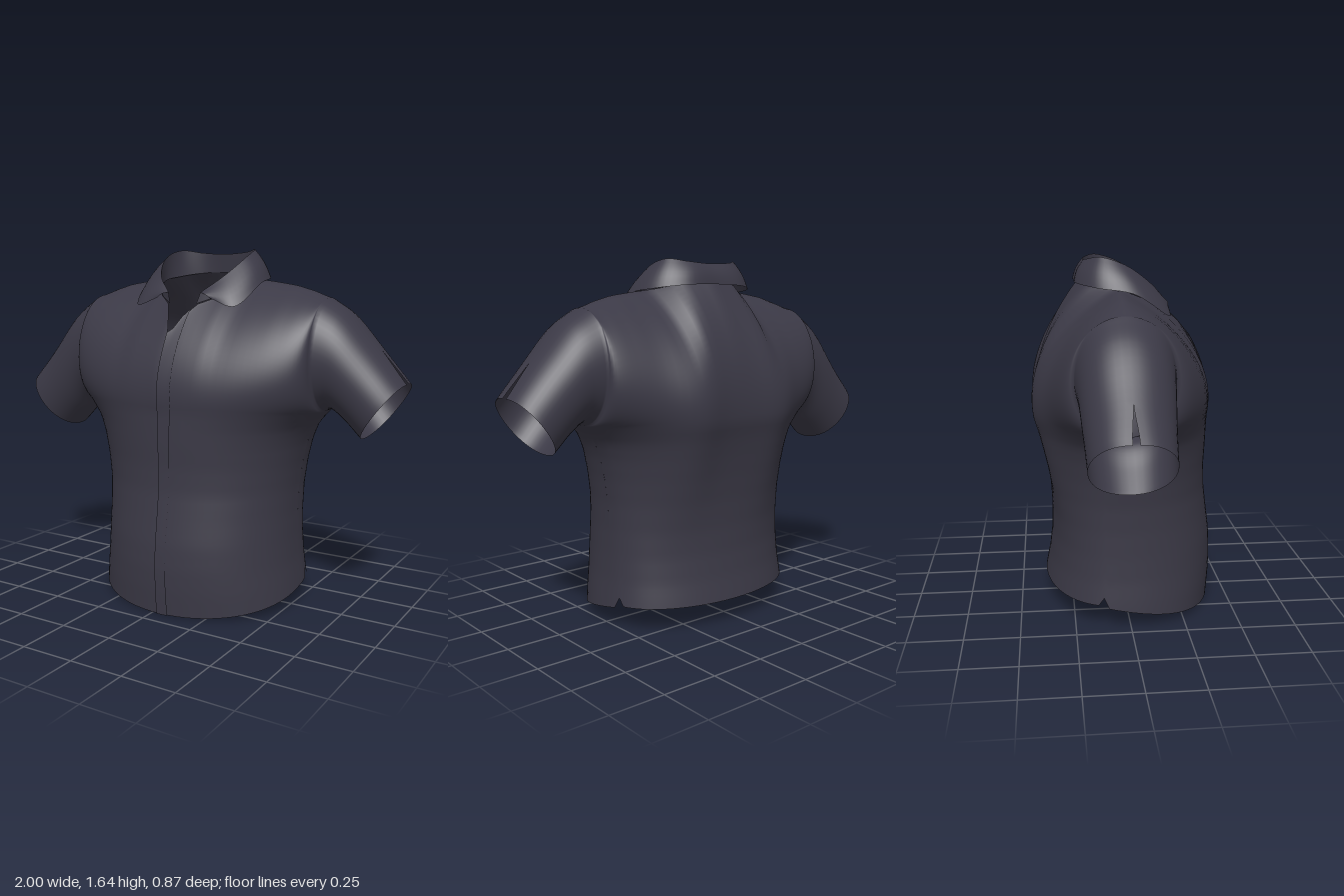
import * as THREE from 'three';
import { mergeGeometries, mergeVertices } from 'three/addons/utils/BufferGeometryUtils.js';

const V = (x, y, z) => new THREE.Vector3(x, y, z);
const lerp = THREE.MathUtils.lerp;
const CX = 0.03;      // middle of the torso
const ZC = -0.04;     // depth of side seams and shoulder ridge
const Y0 = 0.93;      // armpit height
const HALF = 48;      // columns across each panel

// Piecewise interpolation of rows [key, a, b, ...]
function table(rows, k) {
  let i = 0;
  while (i < rows.length - 2 && k > rows[i + 1][0]) i++;
  const [a, b] = [rows[i], rows[i + 1]];
  const f = THREE.MathUtils.clamp((k - a[0]) / (b[0] - a[0]), 0, 1);
  return a.slice(1).map((n, j) => lerp(n, b[j + 1], f));
}

// Surface sampled on a grid; fn(u, v) gives points for u, v in 0..1
function grid(nu, nv, fn) {
  const pos = [], idx = [];
  for (let i = 0; i <= nu; i++) {
    for (let j = 0; j <= nv; j++) {
      const p = fn(i / nu, j / nv);
      pos.push(p.x, p.y, p.z);
      if (i < nu && j < nv) {
        const a = i * (nv + 1) + j, b = a + nv + 1;
        idx.push(a, a + 1, b, b, a + 1, b + 1);
      }
    }
  }
  const g = new THREE.BufferGeometry();
  g.setAttribute('position', new THREE.Float32BufferAttribute(pos, 3));
  g.setIndex(idx);
  return g;
}

function bezier(p, t) {
  return new THREE.CubicBezierCurve3(...p).getPoint(t);
}

// Torso: height, half width, front depth, back depth
const TORSO = [
  [0, 0.507, 0.42, -0.385], [0.12, 0.495, 0.43, -0.378], [0.22, 0.483, 0.433, -0.358],
  [0.33, 0.477, 0.428, -0.345], [0.45, 0.475, 0.412, -0.342], [0.57, 0.48, 0.397, -0.348],
  [0.68, 0.495, 0.395, -0.36], [0.78, 0.517, 0.399, -0.375], [0.86, 0.548, 0.4, -0.39],
  [Y0, 0.61, 0.4, -0.408],
];

// Point on the torso outline at one height
function loop(theta, y) {
  const [w, zf, zb] = table(TORSO, y);
  const s = Math.sin(theta), t = w * Math.cos(theta);
  let z = ZC + ((s > 0 ? zf : zb) - ZC) * Math.pow(Math.abs(s), 0.85);
  if (s < 0) {  // shoulder-blade bulges either side of the spine
    z -= 0.035 * Math.exp(-(((Math.abs(t) - 0.24) / 0.12) ** 2)) * THREE.MathUtils.smoothstep(y, 0.35, 0.9);
  }
  return V(CX + t, y, z);
}

// Torso from hem to armpit, hem dipping at the front with a small side slit
function lower(theta, v) {
  const z = loop(theta, 0.06).z;
  let hem = z > -0.12 ? 0.005 + 0.19 * (0.42 - z) : 0.117;
  if (Math.abs(z + 0.12) < 0.014) hem += 0.035;
  return loop(theta, lerp(hem, Y0, v));
}

// Upper edges by distance from the middle: height, depth
const RIDGE = [[0.24, 1.51, ZC], [0.33, 1.5, ZC], [0.45, 1.482, ZC], [0.54, 1.457, ZC], [0.61, 1.43, ZC]];
const NECK_FRONT = [[0, 1.26, 0.33], [0.045, 1.36, 0.25], [0.08, 1.4, 0.2], [0.16, 1.435, 0.13], [0.22, 1.48, 0.05], [0.24, 1.51, ZC]];
const NECK_BACK = [[0, 1.545, -0.2], [0.15, 1.535, -0.17], [0.22, 1.52, -0.11], [0.24, 1.51, ZC]];

// Torso above the armpit; side is +1 for the front and -1 for the back
function upper(theta, side, v) {
  const b = loop(theta * side, Y0);
  const t = Math.abs(b.x - CX), s = Math.abs(Math.sin(theta));
  const [ey, ez] = table(t > 0.24 ? RIDGE : side > 0 ? NECK_FRONT : NECK_BACK, t);
  const e = V(b.x, ey, ez), h = ey - Y0, out = side * 0.28 * (1 - s);
  const p1 = V(b.x, Y0 + 0.4 * h * s, b.z + out + side * 0.025 * s);
  const p2 = V(b.x, ey - 0.27 * h * s, lerp(ez, b.z, 0.62) + out);
  return bezier([b, p1, p2, e], v);
}

// Sleeves: shoulder line and underarm line
const curve = (pts) => new THREE.CatmullRomCurve3(pts.map(([x, y]) => V(x, y, ZC)));
const LEFT = {
  top: curve([[0.64, 1.43], [0.74, 1.365], [0.86, 1.235], [1.0, 1.07]]),
  under: curve([[0.64, Y0], [0.675, 0.942], [0.735, 0.905], [0.82, 0.822]]),
};
const RIGHT = {
  top: curve([[-0.58, 1.43], [-0.7, 1.345], [-0.85, 1.175], [-1.0, 1.01]]),
  under: curve([[-0.58, Y0], [-0.63, 0.905], [-0.7, 0.83], [-0.78, 0.748]]),
};

function sleeve(arm, side, w, v) {
  const b = arm.under.getPoint(w), e = arm.top.getPoint(w);
  e.z += side * 0.014 * THREE.MathUtils.smoothstep(w, 0.72, 1);  // cuff slit
  const r = side * lerp(0.28, 0.23, w);
  const p1 = V(b.x, b.y, ZC + r), p2 = V(e.x, e.y, ZC + r);
  return bezier([b, p1, p2, e], v);
}

function bodyGeometry() {
  const parts = [grid(HALF * 2, 30, (u, v) => lower(u * 2 * Math.PI, v))];
  for (const side of [1, -1]) {
    const dir = (u) => (side > 0 ? u : 1 - u);
    parts.push(
      grid(HALF, 24, (u, v) => upper(dir(u) * Math.PI, side, v)),
      grid(18, 24, (u, v) => sleeve(LEFT, side, 1 - dir(u), v)),
      grid(18, 24, (u, v) => sleeve(RIGHT, side, dir(u), v)),
    );
  }
  const g = mergeVertices(mergeGeometries(parts), 1e-4);
  g.computeVertexNormals();
  return g;
}

// Collar lines from the middle of the back round to the front, mirrored
function collarLine(half) {
  const left = half.slice(1).reverse().map(([x, y, z]) => V(CX + x, y, z));
  const right = half.map(([x, y, z]) => V(CX - x, y, z));
  return new THREE.CatmullRomCurve3([...left, ...right]);
}
const FOLD = collarLine([[0, 1.627, -0.18], [0.12, 1.634, -0.17], [0.2, 1.645, -0.11], [0.218, 1.61, 0], [0.17, 1.525, 0.12], [0.085, 1.45, 0.19]]);
const STAND = collarLine([[0, 1.54, -0.19], [0.13, 1.535, -0.17], [0.2, 1.52, -0.1], [0.225, 1.5, 0], [0.16, 1.44, 0.13], [0.07, 1.4, 0.2]]);
const FALL = collarLine([[0, 1.535, -0.222], [0.16, 1.53, -0.218], [0.275, 1.515, -0.13], [0.305, 1.49, 0.03], [0.255, 1.39, 0.19], [0.14, 1.425, 0.2]]);

function collarGeometry(from, to, bulge) {
  const g = grid(64, 6, (u, v) => {
    const p = from.getPoint(u).lerp(to.getPoint(u), v);
    const k = bulge * Math.sin(v * Math.PI);
    const out = V(p.x - CX, 0, p.z).normalize();
    return p.addScaledVector(out, k).add(V(0, k * 0.5, 0));
  });
  g.computeVertexNormals();
  return g;
}

// Overlapping front edge that follows the chest
function placketGeometry() {
  const theta = (u) => lerp(Math.PI / 2 - 0.1, Math.PI / 2 + 0.012, u);
  const lift = (p) => p.add(V(0, 0, 0.006));
  const g = mergeVertices(mergeGeometries([
    grid(3, 30, (u, v) => lift(lower(theta(u), v))),
    grid(3, 16, (u, v) => lift(upper(theta(u), 1, v))),
  ]), 1e-4);
  g.computeVertexNormals();
  return g;
}

export function createModel() {
  const cloth = new THREE.MeshStandardMaterial({ color: 0x3b3946, side: THREE.DoubleSide });
  cloth.name = 'charcoal cloth';
  const group = new THREE.Group();
  group.name = 'shirt';
  const add = (name, geometry) => {
    const mesh = new THREE.Mesh(geometry, cloth);
    mesh.name = name;
    group.add(mesh);
  };
  add('bodyAndSleeves', bodyGeometry());
  add('collarStand', collarGeometry(STAND, FOLD, 0));
  add('collarFall', collarGeometry(FALL, FOLD, 0.008));
  add('buttonPlacket', placketGeometry());
  return group;
}
